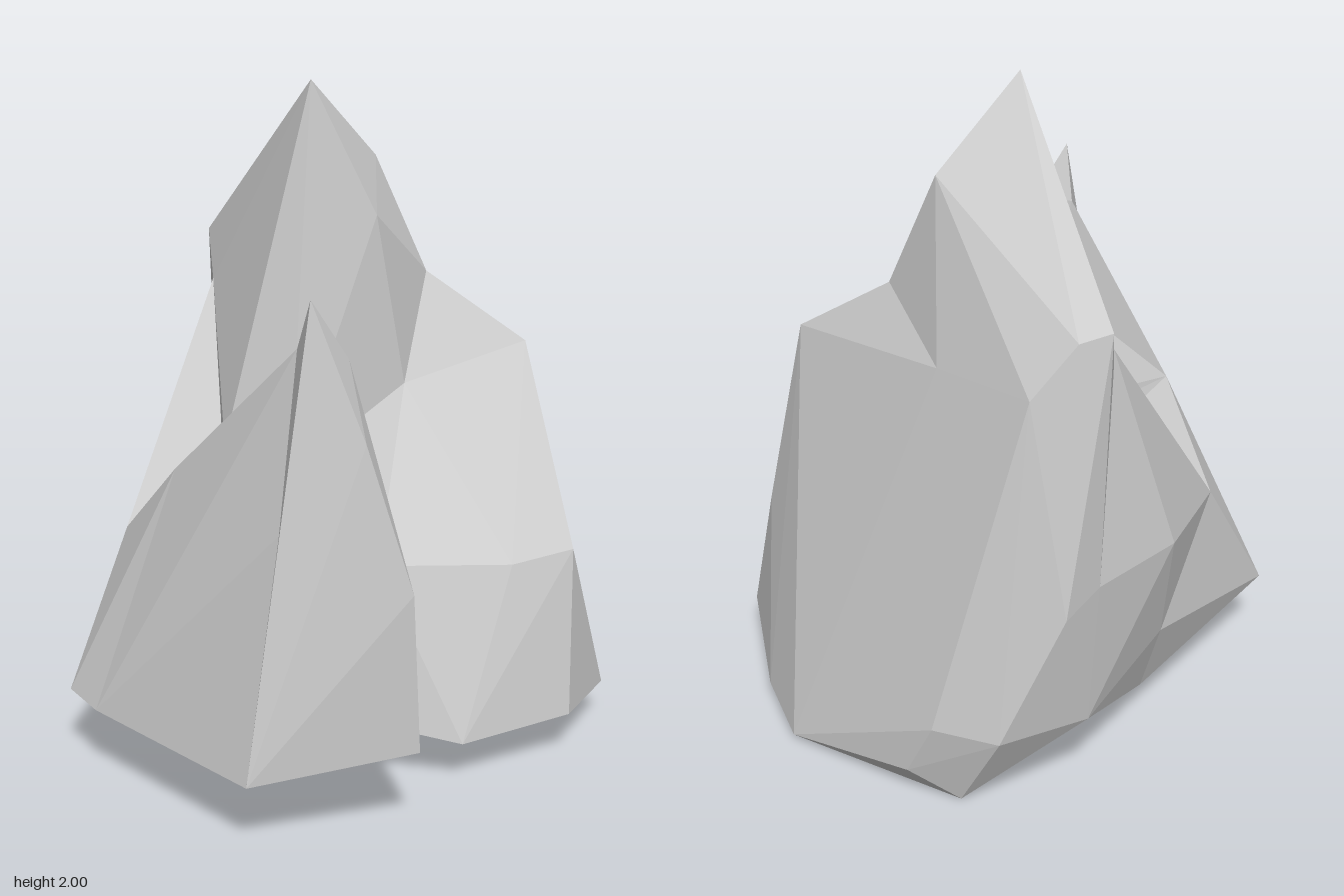
import * as THREE from 'three';
import { ConvexGeometry } from 'three/addons/geometries/ConvexGeometry.js';

// Corners of the peak and its right step
const shelf = [-0.1, 0.81, -0.035];
const hollow = [-0.235, 0.88, -0.21];
const nook = [-0.215, 0.85, -0.26];
const stepInner = [0.26, 1.07, 0.055];
const stepUpper = [0.416, 1.39, -0.06];
const stepOuter = [0.62, 1.19, 0.195];
const stepLower = [0.62, 1.07, 0.12];
const sideTop = [0.39, 1.25, -0.4];
const sideBack = [0.25, 1.27, -0.745];
const backNotch = [-0.055, 1.32, -0.605];

// Corners of the waist and the foot
const gapTop = [-0.08, 0.65, 0.435];
const gapFoot = [-0.31, 0.235, 0.38];
const waistFront = [0.31, 0.62, 0.565];
const flank = [0.72, 0.58, 0.285];
const footFront = [0.08, 0.13, 0.65];
const footMiddle = [0.205, 0.02, -0.56];
const footBack = [-0.24, 0.1, -0.45];
const leftWaist = [-0.25, 0.69, -0.63];
const leftHem = [-0.27, 0.33, -0.52];
const leftBend = [-0.54, 0.64, -0.29];
const backWaist = [[0.06, 0.7, -0.8], [0.185, 0.65, -0.86], [0.36, 0.59, -0.71]];
const backHem = [[0.08, 0.26, -0.78], [0.36, 0.25, -0.8], [0.52, 0.265, -0.68]];
const sideHem = [[0.75, 0.11, 0.33], [0.81, 0.045, 0.06], [0.805, 0.015, -0.2]];

// Corners of the spike
const ridgeFoot = [-0.525, 0.91, 0.02];
const ridgeTop = [-0.4, 1.36, 0.515];
const spikeInner = [-0.315, 1.08, 0.525];
const spikeEdge = [-0.24, 0.73, 0.855];
const spikeCheek = [-0.19, 0.74, 0.67];
const spikeBase = [-0.21, 0.26, 0.85];
const spikeSide = [-0.54, 0.9, 0.66];
const spikeToe = [-0.675, 0.21, 0.7];
const leftToe = [-0.81, 0.21, 0.03];

// Each chunk of stone is the hull of its corners
const chunks = {
  tallPeak: [
    [0.04, 2, -0.14], [0.32, 1.745, -0.21], [0.157, 1.605, 0.05], stepUpper, sideTop, sideBack,
    [0.03, 1.45, -0.79], [0.125, 1.43, -0.78], backNotch, hollow, nook, shelf, stepInner, ...backWaist,
  ],
  peakBack: [backNotch, nook, leftBend, leftWaist, leftHem, footBack, backWaist[0]],
  peakStep: [stepUpper, stepOuter, stepLower, stepInner, sideTop],
  shoulderLeft: [stepInner, shelf, gapTop, gapFoot, waistFront, footFront, footMiddle],
  shoulderRight: [
    stepInner, stepOuter, stepLower, sideTop, waistFront, [0.515, 0.64, 0.595], flank,
    footFront, [0.465, 0.14, 0.665], [0.745, 0.115, 0.48], ...sideHem, footMiddle,
  ],
  baseCore: [
    stepLower, sideTop, sideBack, flank, shelf, gapFoot, footMiddle, footBack,
    leftWaist, leftHem, ...backWaist, ...backHem, ...sideHem, [0.57, 0.09, -0.6], [0.43, 0, -0.67],
  ],
  saddle: [ridgeFoot, hollow, nook, shelf, gapTop, gapFoot, leftBend, footBack],
  saddleLeft: [
    ridgeFoot, gapTop, gapFoot, leftBend, leftHem, footBack,
    [-0.81, 0.21, -0.15], leftToe, [-0.605, 0.135, -0.03],
  ],
  spikeTip: [
    [-0.43, 1.52, 0.635], [-0.31, 1.345, 0.635], ridgeTop, spikeInner, [-0.34, 1.145, 0.77],
    spikeEdge, spikeBase, spikeSide, spikeToe, gapFoot,
  ],
  spikeRoot: [ridgeTop, spikeInner, spikeSide, ridgeFoot, leftToe, spikeToe, gapFoot],
  spikeCheek: [spikeInner, spikeEdge, spikeCheek, spikeBase, gapFoot],
  spikeWeb: [spikeInner, spikeCheek, gapTop, ridgeFoot, gapFoot],
};

export function createModel() {
  const rock = new THREE.Group();
  rock.name = 'rock';
  const stone = new THREE.MeshStandardMaterial({ color: 0xcccccc, flatShading: true });
  for (const [name, corners] of Object.entries(chunks)) {
    const points = corners.map((c) => new THREE.Vector3(...c));
    const mesh = new THREE.Mesh(new ConvexGeometry(points), stone);
    mesh.name = name;
    rock.add(mesh);
  }
  return rock;
}
